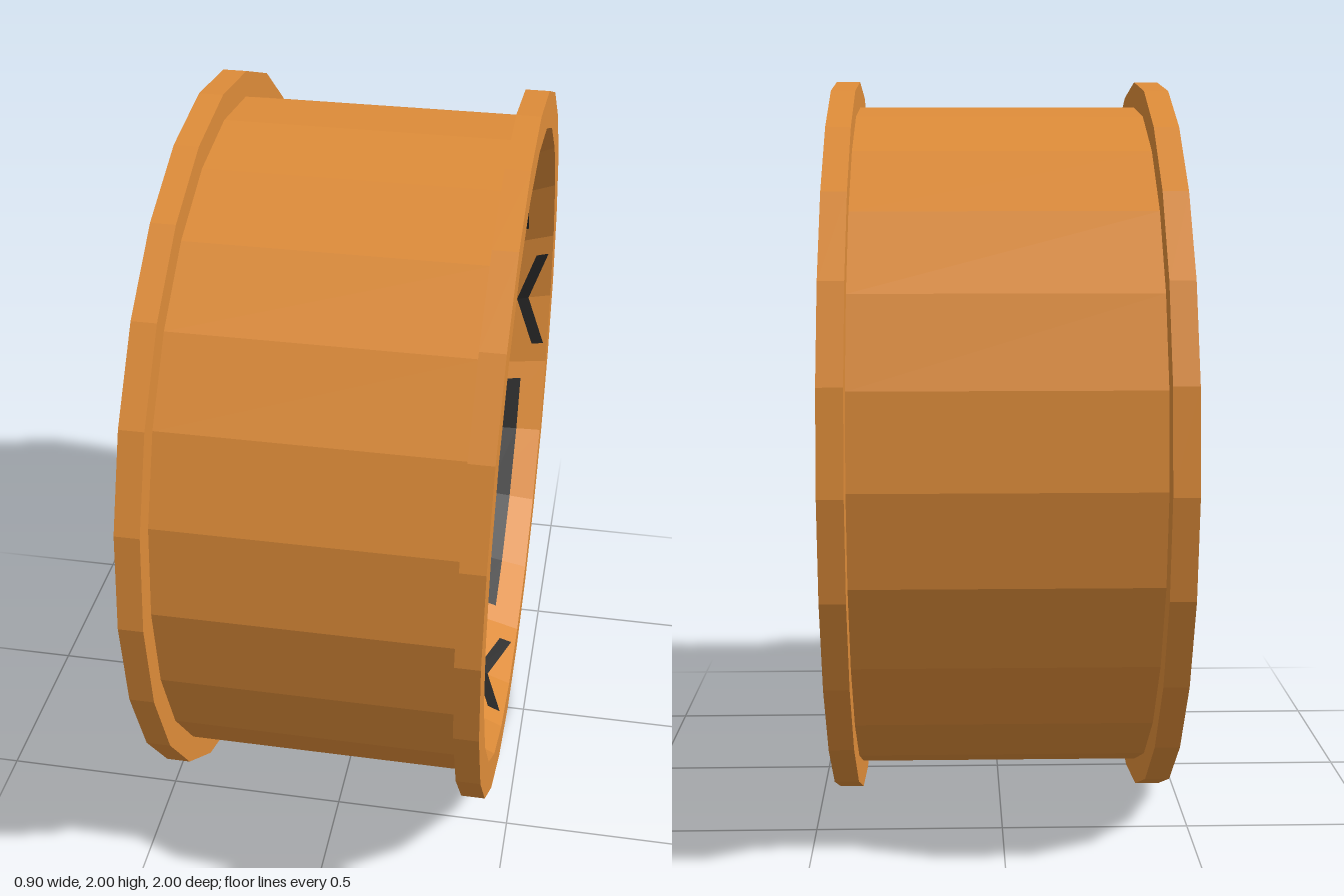
import * as THREE from 'three';

const SIDES = 24, STEP = Math.PI * 2 / SIDES, DEG = Math.PI / 180;
const APEX_X = 0.36, DISC_X = 0.295, DISC_R = 0.84, LIP_X = 0.45, LIP_R = 0.9;
const LIFT = 0.006;

const paint = new THREE.MeshStandardMaterial({ color: 0xde8c39 });
paint.name = 'orange paint';
const dark = new THREE.MeshStandardMaterial({ color: 0x242424 });
dark.name = 'dark openings';

function add(parent, name, geometry, material) {
  const mesh = new THREE.Mesh(geometry, material);
  mesh.name = name;
  parent.add(mesh);
  return mesh;
}

// Faceted lathe turned so that its axis runs along x; profile is [radius, x]
function turned(profile) {
  const lathe = new THREE.LatheGeometry(profile.map(([r, x]) => new THREE.Vector2(r, x)), SIDES);
  const g = lathe.rotateZ(-Math.PI / 2).toNonIndexed();
  g.computeVertexNormals();
  return g;
}

// Ratio of circumscribed-polygon radius to true radius at an angle from the vertical
function facetScale(a) {
  const local = ((a % STEP) + STEP) % STEP;
  return Math.cos(local - STEP / 2) / Math.cos(STEP / 2);
}

// Depth of the dished face at a polygon radius
function faceX(rho) {
  return rho <= DISC_R
    ? APEX_X + (DISC_X - APEX_X) * rho / DISC_R
    : DISC_X + (LIP_X - DISC_X) * (rho - DISC_R) / (LIP_R - DISC_R);
}

// Thin patch lying on the dished face; at(row, col) gives [angle, polygon radius]
function facePatch(rows, cols, at) {
  const pos = [];
  const put = (i, j) => {
    const [a, rho] = at(i, j);
    const r = rho / facetScale(a);
    pos.push(faceX(rho) + LIFT, r * Math.cos(a), r * Math.sin(a));
  };
  for (let i = 0; i < rows - 1; i++) {
    for (let j = 0; j < cols - 1; j++) {
      put(i, j); put(i + 1, j); put(i + 1, j + 1);
      put(i, j); put(i + 1, j + 1); put(i, j + 1);
    }
  }
  const g = new THREE.BufferGeometry();
  g.setAttribute('position', new THREE.Float32BufferAttribute(pos, 3));
  g.computeVertexNormals();
  return g;
}

export function createModel() {
  const wheel = new THREE.Group();
  wheel.name = 'wheelRim';
  wheel.position.y = 1;

  // Barrel with two flanges, sloping inner wall and shallow conical spoke face
  add(wheel, 'rimAndSpokeFace', turned([
    [1, -0.45], [1, -0.385], [0.93, -0.385], [0.93, 0.385], [1, 0.385],
    [1, LIP_X], [LIP_R, LIP_X], [DISC_R, DISC_X], [0, APEX_X],
  ]), paint);

  // Closed back
  add(wheel, 'backCover', turned([[0, -0.45], [1, -0.45]]), dark);

  // Openings between the spokes, running a little way up the inner wall
  const radii = [0.31, 0.55, DISC_R, 0.868];
  const angles = [0, 30, 45, 60, 90];
  const window = facePatch(radii.length, angles.length, (i, j) => {
    const edge = 13.3 * DEG + Math.asin(0.0815 / radii[i]);
    return [THREE.MathUtils.clamp(angles[j] * DEG, edge, Math.PI / 2 - edge), radii[i]];
  });

  // Narrow slot on the inner wall at the end of each spoke
  const slot = facePatch(2, 3, (i, j) => {
    const a = (j - 1) * 10.8 * DEG;
    const height = i ? 0.871 : 0.857;
    return [a, height / Math.cos(a) * facetScale(a)];
  });

  for (let k = 0; k < 4; k++) {
    const turn = k * Math.PI / 2;
    add(wheel, 'spokeOpening', window, dark).rotation.x = turn;
    add(wheel, 'wallSlot', slot, dark).rotation.x = turn;

    // Bolt holes around the hub
    const hole = add(wheel, 'boltHole', new THREE.CircleGeometry(0.033, 16), dark);
    const a = turn - 17 * DEG;
    hole.rotation.y = Math.PI / 2;
    hole.position.set(faceX(0.19) + LIFT, 0.19 * Math.cos(a), 0.19 * Math.sin(a));
  }

  const model = new THREE.Group();
  model.name = 'wheel';
  model.add(wheel);
  return model;
}
